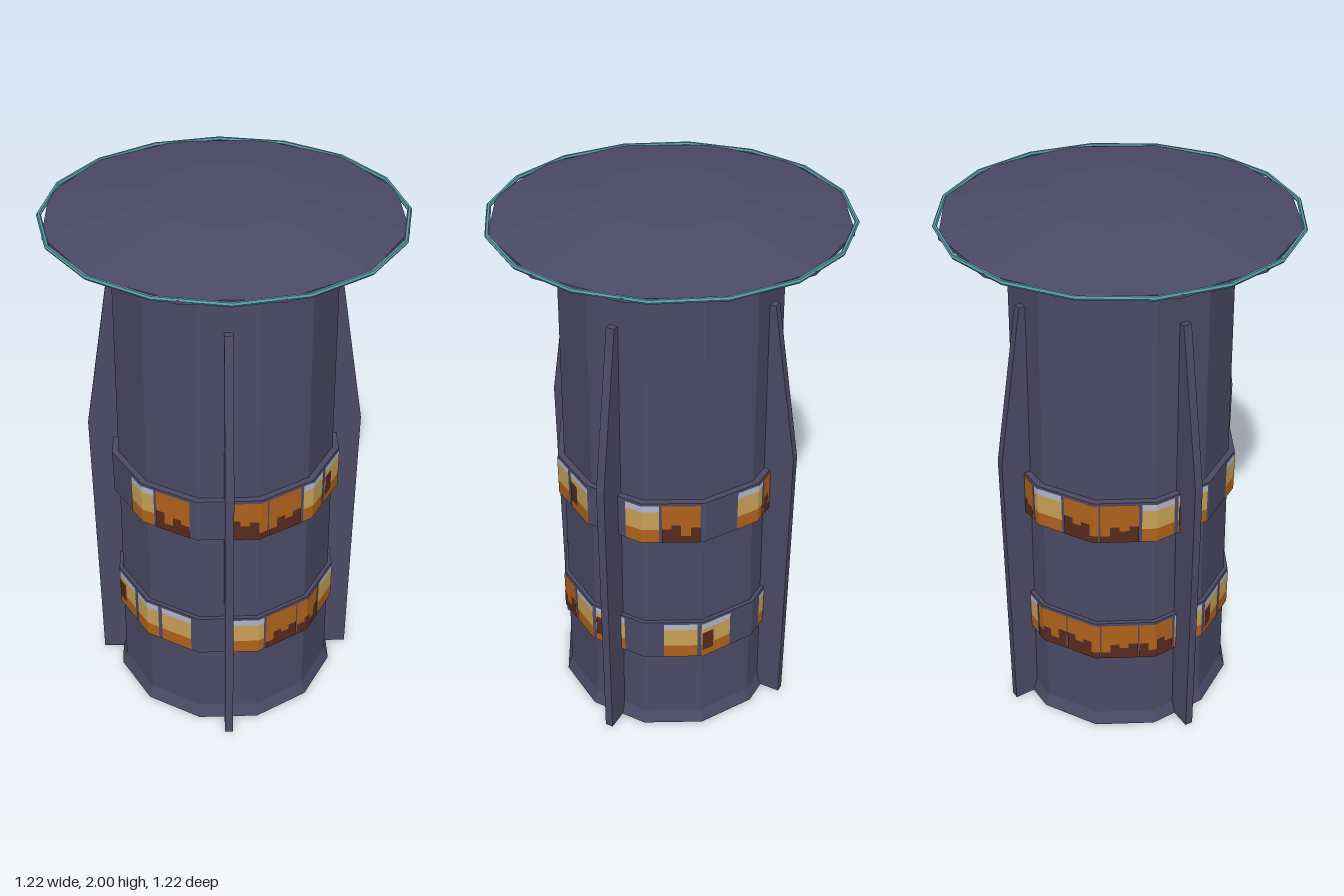
import * as THREE from 'three';
import { mergeGeometries } from 'three/addons/utils/BufferGeometryUtils.js';

const SIDES = 12; // facets of the tower
const CELLS = 19; // window bays around each band

const paint = (name, color) => {
  const m = new THREE.MeshStandardMaterial({ color });
  m.name = name;
  return m;
};

// hard-edged facets
const faceted = (geo) => {
  const g = geo.index ? geo.toNonIndexed() : geo;
  g.computeVertexNormals();
  return g;
};

const lathe = (points) =>
  faceted(new THREE.LatheGeometry(points.map(([r, y]) => new THREE.Vector2(r, y)), SIDES));

// thin pane wrapped on the faceted band, from bay position u0 to u1
function pane(u0, u1, y0, y1, radius) {
  const perFacet = CELLS / SIDES;
  const at = (u) => {
    const f = u / perFacet, k = Math.floor(f), t = f - k;
    const a = (k * 2 * Math.PI) / SIDES, b = ((k + 1) * 2 * Math.PI) / SIDES;
    return [
      radius * (Math.sin(a) * (1 - t) + Math.sin(b) * t),
      radius * (Math.cos(a) * (1 - t) + Math.cos(b) * t),
    ];
  };
  const stops = [u0];
  for (let k = Math.ceil(u0 / perFacet + 1e-6); k * perFacet < u1 - 1e-6; k++) stops.push(k * perFacet);
  stops.push(u1);
  const pos = [];
  for (let i = 0; i + 1 < stops.length; i++) {
    const [xa, za] = at(stops[i]), [xb, zb] = at(stops[i + 1]);
    pos.push(xa, y0, za, xb, y0, zb, xb, y1, zb, xa, y0, za, xb, y1, zb, xa, y1, za);
  }
  const g = new THREE.BufferGeometry();
  g.setAttribute('position', new THREE.Float32BufferAttribute(pos, 3));
  g.computeVertexNormals();
  return g;
}

export function createModel() {
  const model = new THREE.Group();
  model.name = 'tower';
  const hull = paint('slate hull', 0x4c4a65);
  const teal = paint('teal trim', 0x5799a5);
  const glass = {
    pale: paint('pale lamp', 0xb2b6ca),
    yellow: paint('yellow light', 0xc8a056),
    orange: paint('orange light', 0xb0621c),
    brown: paint('brown shadow', 0x562a1e),
  };
  const add = (name, geo, mat, parent = model) => {
    const mesh = new THREE.Mesh(geo, mat);
    mesh.name = name;
    parent.add(mesh);
    return mesh;
  };

  // tapered shaft with a flared foot
  add('shaft', lathe([[0, 0], [0.43, 0], [0.412, 0.05], [0.385, 1.86]]), hull);

  // shallow overhanging roof
  add('roof', lathe([[0, 1.85], [0.387, 1.85], [0.6, 1.92], [0.6, 1.932], [0.245, 1.993], [0, 2]]), hull);

  // sixteen-sided trim ring around the roof edge
  add('roofRing', faceted(new THREE.TorusGeometry(0.602, 0.008, 6, 16).rotateX(Math.PI / 2)), teal)
    .position.y = 1.93;

  // four diagonal buttress fins
  const finShape = new THREE.Shape(
    [[0.3, 0], [0.492, 0], [0.492, 1.12], [0.396, 1.7], [0.3, 1.7]].map(([x, y]) => new THREE.Vector2(x, y)));
  const finGeo = new THREE.ExtrudeGeometry(finShape, { depth: 0.03, bevelEnabled: false }).translate(0, 0, -0.015);
  for (let i = 0; i < 4; i++) {
    add('fin', finGeo, hull).rotation.y = Math.PI / 4 + (i * Math.PI) / 2;
  }

  // window bands: Y lit, B lit with a dark figure, O dim, - blank
  const bands = [
    { name: 'lowerBand', y: 0.34, bays: 'OYB-YB-YOOOOYBYY-YO' },
    { name: 'upperBand', y: 0.885, bays: 'YB-YO-YOYOOYB-YO-OO' },
  ];
  const H = 0.168;
  // uneven heights of the dark clutter in dim bays
  const clutter = [0.3, 0.42, 0.22, 0.5, 0.36, 0.46, 0.18, 0.4];

  for (const { name, y, bays } of bands) {
    const band = new THREE.Group();
    band.name = name;
    model.add(band);
    const ringGeo = new THREE.CylinderGeometry(0.42, 0.42, H, SIDES).translate(0, y + H / 2, 0);
    add('bandRing', faceted(ringGeo), hull, band);

    const panes = { pale: [], yellow: [], orange: [], brown: [] };
    [...bays].forEach((type, i) => {
      if (type === '-') return;
      const u = i - 0.35;
      // rectangle in bay fractions: left, right, bottom, top
      const put = (color, l, r, b, t, radius = 0.423) =>
        panes[color].push(pane(u + l, u + r, y + b * H, y + t * H, radius));
      if (type === 'O') {
        put('orange', 0.02, 0.98, 0.01, 0.94);
        for (let k = 0; k < 4; k++) {
          put('brown', 0.02 + k * 0.24, 0.26 + k * 0.24, 0.01, clutter[(i * 3 + k) % 8], 0.4245);
        }
      } else {
        put('orange', 0.06, 0.95, 0.01, 0.34);
        put('yellow', 0.06, 0.95, 0.34, 0.8);
        put('pale', 0.06, 0.95, 0.8, 0.95);
        if (type === 'B') put('brown', 0.08, 0.42, 0.2, 0.7, 0.4245);
      }
    });
    for (const key of Object.keys(panes)) {
      add(key + 'Panes', mergeGeometries(panes[key]), glass[key], band);
    }
  }
  return model;
}
